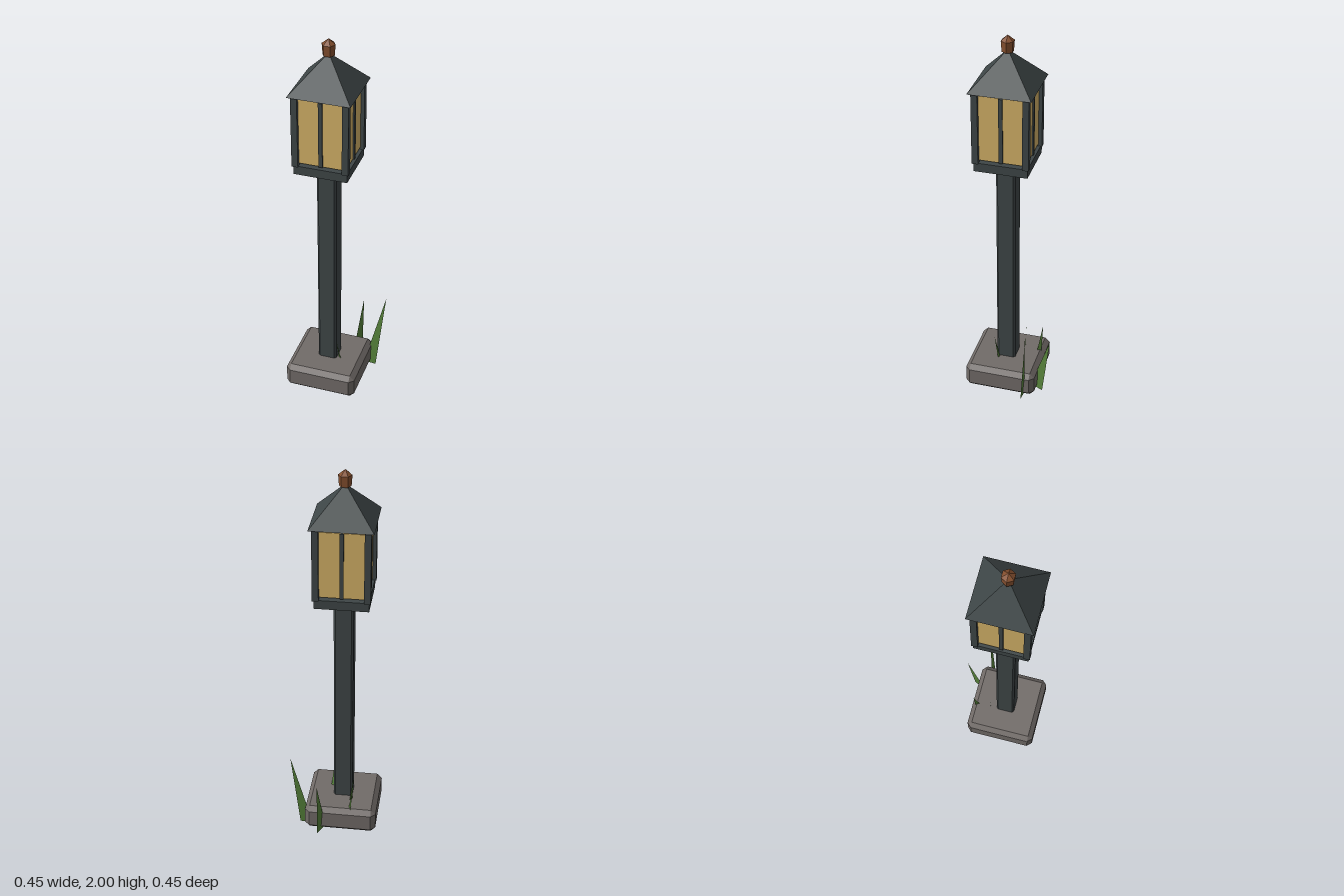
import * as THREE from 'three';
import { ConvexGeometry } from 'three/addons/geometries/ConvexGeometry.js';

const material = (name, color, extra = {}) => {
  const m = new THREE.MeshStandardMaterial({ color, flatShading: true, ...extra });
  m.name = name;
  return m;
};

// Box with every edge cut at 45 degrees
function chamferBox(w, h, d, c) {
  const points = [];
  for (const x of [-1, 1]) for (const y of [-1, 1]) for (const z of [-1, 1]) {
    for (const [a, b, e] of [[0, c, c], [c, 0, c], [c, c, 0]]) {
      points.push(new THREE.Vector3(x * (w / 2 - a), y * (h / 2 - b), z * (d / 2 - e)));
    }
  }
  return new ConvexGeometry(points);
}

export function createModel() {
  const iron = material('dark iron', 0x3e4647);
  const stone = material('grey stone', 0x716b68);
  const glass = material('amber glass', 0xd3b167);
  const copper = material('copper', 0x85502f);
  const grass = material('grass green', 0x55803a, { side: THREE.DoubleSide });

  const model = new THREE.Group();
  model.name = 'gardenLamp';
  const lamp = new THREE.Group();
  lamp.name = 'lampPost';
  lamp.position.set(-0.038, 0, 0.033);
  model.add(lamp);

  const add = (parent, name, geometry, mat, x, y, z) => {
    const mesh = new THREE.Mesh(geometry, mat);
    mesh.name = name;
    mesh.position.set(x, y, z);
    parent.add(mesh);
    return mesh;
  };

  // Plinth, post and lantern floor
  add(lamp, 'plinth', chamferBox(0.378, 0.137, 0.378, 0.025), stone, 0, 0.0685, 0);
  add(lamp, 'post', chamferBox(0.1, 1.24, 0.1, 0.01), iron, 0, 0.72, 0);
  add(lamp, 'lanternFloor', new THREE.BoxGeometry(0.272, 0.047, 0.272), iron, 0, 1.345, 0);

  // Lantern: one corner bar, pane and glazing bar for each side
  for (let i = 0; i < 4; i++) {
    const side = new THREE.Group();
    side.name = 'lanternSide';
    side.rotation.y = i * Math.PI / 2;
    add(side, 'cornerBar', new THREE.BoxGeometry(0.032, 0.384, 0.032), iron, 0.127, 1.558, 0.127);
    add(side, 'pane', new THREE.BoxGeometry(0.234, 0.346, 0.009), glass, 0, 1.554, 0.12);
    add(side, 'glazingBar', new THREE.BoxGeometry(0.02, 0.346, 0.02), iron, 0, 1.554, 0.122);
    lamp.add(side);
  }

  // Pyramid roof
  const roof = new THREE.ConeGeometry(0.158 * Math.SQRT2, 0.182, 4);
  roof.rotateY(Math.PI / 4);
  add(lamp, 'roof', roof, iron, 0, 1.836, 0);

  // Six-sided finial, corners pointing left and right
  const knob = new THREE.CylinderGeometry(0.034, 0.03, 0.055, 6).rotateY(Math.PI / 6);
  add(lamp, 'finialBody', knob, copper, 0, 1.9445, 0);
  const tip = new THREE.ConeGeometry(0.034, 0.028, 6, 1, true).rotateY(Math.PI / 6);
  add(lamp, 'finialTip', tip, copper, 0, 1.986, 0);

  // Grass blades: two root corners and a tip
  const blades = [
    [[0.115, 0, -0.1], [0.182, 0, -0.096], [0.225, 0.437, -0.13]],
    [[0.043, 0, -0.115], [0.078, 0, -0.188], [0.073, 0.33, -0.225]],
    [[-0.062, 0, -0.095], [-0.083, 0, -0.135], [-0.107, 0.29, -0.142]],
    [[0.025, 0, 0.03], [0.052, 0, 0.045], [0.02, 0.265, 0.095]],
    [[-0.06, 0, -0.055], [-0.085, 0, -0.045], [-0.1, 0.285, -0.05]],
  ];
  for (const corners of blades) {
    const geometry = new THREE.BufferGeometry();
    geometry.setAttribute('position', new THREE.Float32BufferAttribute(corners.flat(), 3));
    geometry.computeVertexNormals();
    add(model, 'grassBlade', geometry, grass, 0, 0, 0);
  }
  return model;
}
